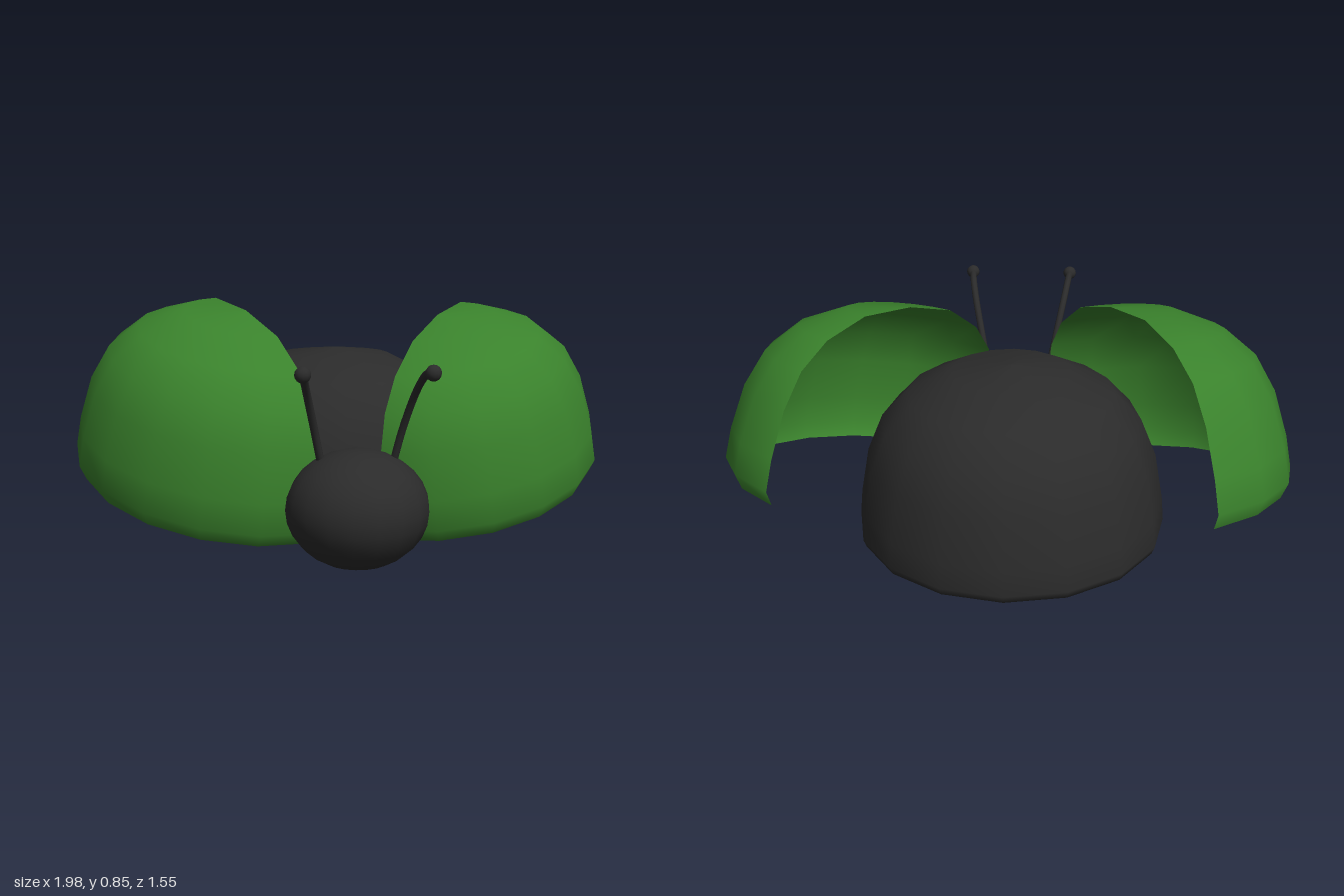
import * as THREE from 'three';

// Shared dome outline: radius and height as fractions, from rim to crown
const DOME = [[0.95, 0], [1, 0.08], [0.985, 0.25], [0.93, 0.5], [0.83, 0.7], [0.66, 0.85], [0.38, 0.965], [0, 1]];

const domePoints = () => DOME.map(([r, h]) => new THREE.Vector2(r, h));

export function createModel() {
  const model = new THREE.Group();
  const black = new THREE.MeshStandardMaterial({ color: 0x2b2b2b });
  black.name = 'shellBlack';
  const green = new THREE.MeshStandardMaterial({ color: 0x3a822c, side: THREE.DoubleSide });
  green.name = 'wingGreen';

  const add = (name, geometry, material, parent = model) => {
    const mesh = new THREE.Mesh(geometry, material);
    mesh.name = name;
    parent.add(mesh);
    return mesh;
  };

  // Body: full dome with a rounded underside
  const profile = [[0, 0], [0.5, 0.004], [0.76, 0.018], [0.9, 0.045], [0.98, 0.08], [1, 0.12]]
    .map(([r, h]) => new THREE.Vector2(r, h))
    .concat(domePoints().slice(2));
  const body = add('body', new THREE.LatheGeometry(profile, 16), black);
  body.scale.set(0.545, 0.665, 0.545);
  body.position.set(-0.015, 0.005, -0.225);

  // Head
  const head = add('head', new THREE.SphereGeometry(1, 18, 14), black);
  head.scale.set(0.24, 0.2, 0.24);
  head.position.set(-0.01, 0.208, 0.488);

  // Wing cases: half domes swung outwards and lifted at the back
  const wing = (name, side, position, yaw, pitch, scale) => {
    const start = side > 0 ? 0 : Math.PI;
    const mesh = add(name, new THREE.LatheGeometry(domePoints(), 9, start, Math.PI), green);
    mesh.rotation.set(pitch, yaw, 0, 'YXZ');
    mesh.position.set(...position);
    mesh.scale.set(...scale);
  };
  wing('leftWingCase', 1, [0.43, 0.19, -0.155], -0.58, 0.232, [0.55, 0.63, 0.62]);
  wing('rightWingCase', -1, [-0.415, 0.19, -0.185], 0.453, 0.223, [0.57, 0.65, 0.64]);

  // Antennae: curved stalks with round tips
  for (const side of [1, -1]) {
    const antenna = new THREE.Group();
    antenna.name = side > 0 ? 'leftAntenna' : 'rightAntenna';
    antenna.position.x = -0.01;
    const curve = new THREE.CatmullRomCurve3([
      [0.12, 0.36, 0.478], [0.145, 0.48, 0.515], [0.175, 0.61, 0.59], [0.192, 0.675, 0.67], [0.2, 0.69, 0.75],
    ].map(([x, y, z]) => new THREE.Vector3(side * x, y, z)));
    add('antennaStalk', new THREE.TubeGeometry(curve, 16, 0.013, 8), black, antenna);
    add('antennaTip', new THREE.SphereGeometry(0.026, 12, 8), black, antenna)
      .position.set(side * 0.2, 0.69, 0.75);
    model.add(antenna);
  }

  return model;
}
